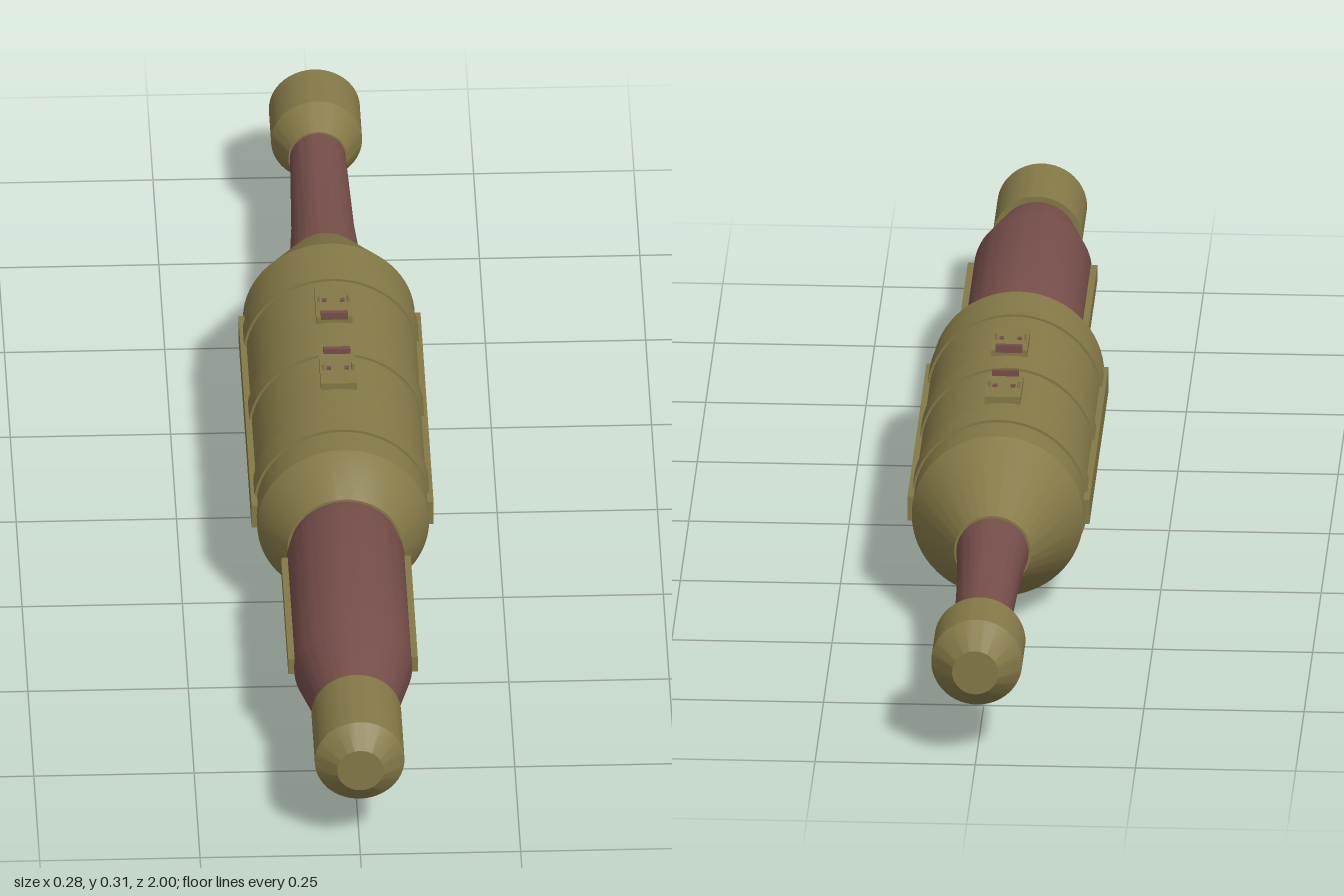
import * as THREE from 'three';
import { toCreasedNormals } from 'three/addons/utils/BufferGeometryUtils.js';

const AXIS = 0.154; // height of the long axis

export function createModel() {
  const olive = new THREE.MeshStandardMaterial({ color: 0x857947 });
  olive.name = 'olive';
  const maroon = new THREE.MeshStandardMaterial({ color: 0x764e4a });
  maroon.name = 'maroon';

  const root = new THREE.Group();
  root.name = 'device';
  const core = new THREE.Group();
  core.name = 'core';
  core.position.y = AXIS;
  root.add(core);

  const add = (parent, name, geo, mat) => {
    const mesh = new THREE.Mesh(geo, mat);
    mesh.name = name;
    parent.add(mesh);
    return mesh;
  };

  // Turned part along z; profile is [z, radius] from back to front
  const turned = (name, profile, mat) => {
    const geo = new THREE.LatheGeometry(profile.map(([z, r]) => new THREE.Vector2(r, z)), 64);
    geo.rotateX(Math.PI / 2);
    return add(core, name, toCreasedNormals(geo, 0.35), mat);
  };

  const box = (parent, name, size, pos, mat) => {
    const mesh = add(parent, name, new THREE.BoxGeometry(...size), mat);
    mesh.position.set(...pos);
    return mesh;
  };

  // Main turned sections
  turned('rearKnob', [[-1, 0], [-1, 0.036], [-0.955, 0.071], [-0.86, 0.071], [-0.81, 0.046], [-0.81, 0]], olive);
  turned('rearShaft', [[-0.82, 0.043], [-0.6, 0.049], [-0.48, 0.057]], maroon);
  turned('body', [[-0.49, 0], [-0.49, 0.06], [-0.34, 0.134], [0.27, 0.134], [0.3, 0.121], [0.345, 0.09], [0.345, 0]], olive);
  turned('frontGrip', [[0.335, 0.084], [0.375, 0.092], [0.7, 0.092], [0.835, 0.06], [0.835, 0]], maroon);
  turned('frontKnob', [[0.83, 0], [0.83, 0.07], [0.97, 0.07], [1, 0.036], [1, 0]], olive);

  // Raised bands around the body
  for (const z of [-0.255, -0.035, 0.19]) {
    turned('band', [[z - 0.026, 0.13], [z - 0.026, 0.138], [z + 0.026, 0.138], [z + 0.026, 0.13]], olive);
  }

  // Side rails on body and grip
  for (const s of [1, -1]) {
    box(core, 'bodyRail', [0.014, 0.04, 0.56], [s * 0.135, 0, -0.035], olive);
    box(core, 'gripRail', [0.014, 0.027, 0.3], [s * 0.094, 0, 0.54], olive);
  }

  // Switch plates on top, repeated underneath
  for (const turn of [0, Math.PI]) {
    const panel = new THREE.Group();
    panel.name = turn ? 'bottomPanel' : 'topPanel';
    panel.rotation.z = turn;
    core.add(panel);
    for (const s of [1, -1]) {
      const at = (d) => -0.055 + s * d; // distance from panel centre
      box(panel, 'plate', [0.056, 0.016, 0.092], [0, 0.136, at(0.098)], olive);
      box(panel, 'slotBar', [0.042, 0.012, 0.008], [0, 0.147, at(0.053)], maroon);
      for (const x of [-1, 1]) {
        const pin = box(panel, 'pin', [0.004, 0.014, 0.009], [x * 0.023, 0.147, at(0.1)], olive);
        pin.rotation.z = -x * 0.15;
        box(panel, 'stud', [0.007, 0.008, 0.007], [x * 0.014, 0.143, at(0.1)], maroon);
      }
    }
  }
  return root;
}
